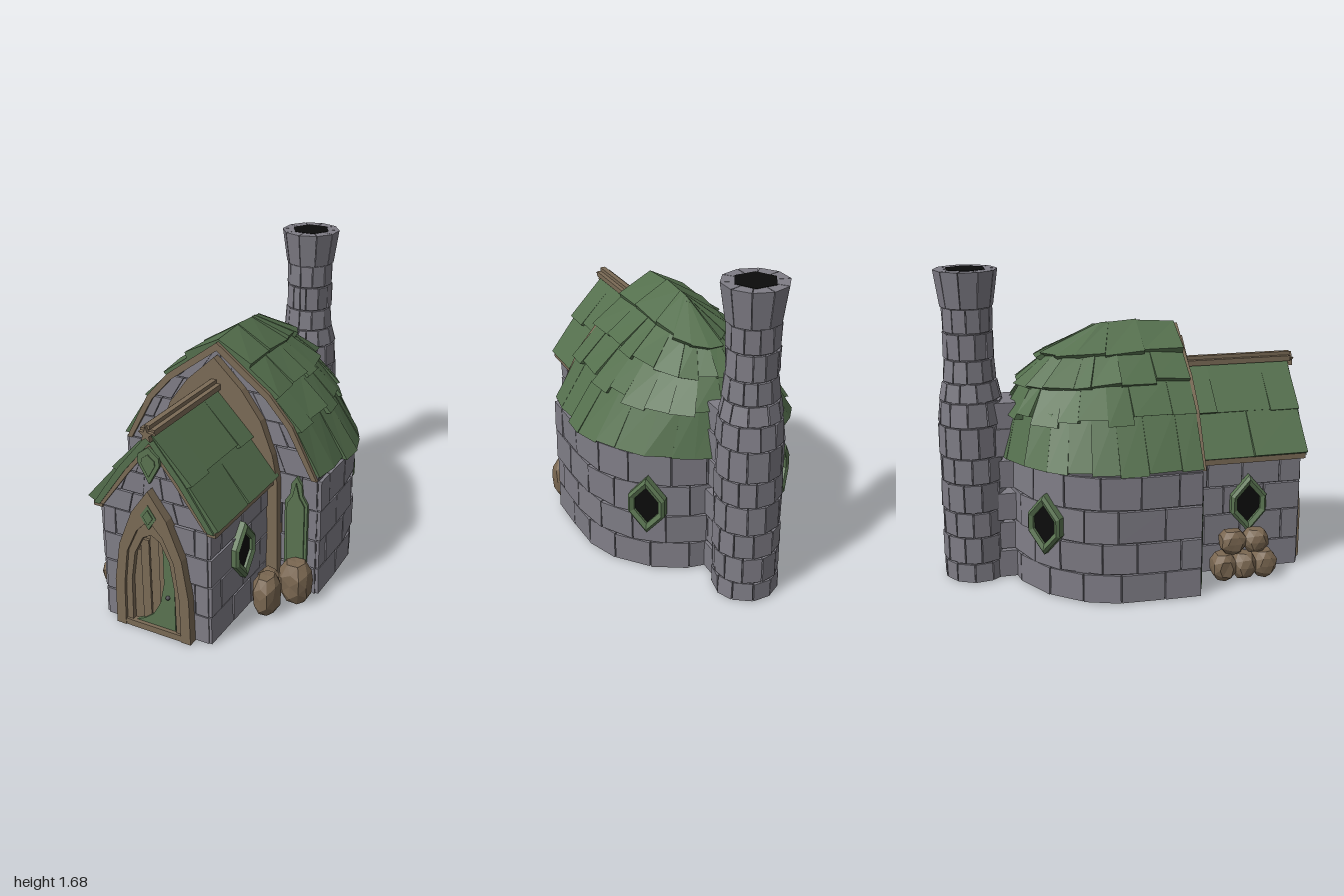
import * as THREE from 'three';
import { mergeGeometries } from 'three/addons/utils/BufferGeometryUtils.js';

const V = (x, y, z) => new THREE.Vector3(x, y, z);
const lerp = THREE.MathUtils.lerp;

export function createModel() {
  const root = new THREE.Group();
  const mat = (name, color) => Object.assign(new THREE.MeshStandardMaterial({ color }), { name });
  const stone = mat('stone', 0x7f7d86), mortar = mat('mortar', 0x5c5a61), roofGreen = mat('roofGreen', 0x546f4d),
    trimGreen = mat('trimGreen', 0x5a7451), wood = mat('wood', 0x7b6b56), rockBrown = mat('rockBrown', 0x7a6751),
    black = mat('black', 0x0b0b0b);

  let seed = 11;
  const rnd = () => (seed = (seed * 16807) % 2147483647) / 2147483647;

  // Merges faceted pieces into one named mesh
  const add = (name, geos, material, parent = root) => {
    const flat = geos.map((g) => {
      const n = g.index ? g.toNonIndexed() : g;
      const out = new THREE.BufferGeometry();
      out.setAttribute('position', n.getAttribute('position'));
      return out;
    });
    const geo = mergeGeometries(flat);
    geo.computeVertexNormals();
    const m = new THREE.Mesh(geo, material);
    m.name = name;
    parent.add(m);
  };
  const box = (x0, x1, y0, y1, z0, z1) =>
    new THREE.BoxGeometry(x1 - x0, y1 - y0, z1 - z0).translate((x0 + x1) / 2, (y0 + y1) / 2, (z0 + z1) / 2);

  // Six-sided block on a surface F(u, v, depth); dB and dT are the outer depths at bottom and top
  const block = (F, u0, u1, v0, v1, d0, dB, dT = dB) => {
    const ring = (v, d) => [F(u0, v, d0), F(u1, v, d0), F(u1, v, d), F(u0, v, d)];
    const a = ring(v0, dB), b = ring(v1, dT);
    const quads = [[a[3], a[2], a[1], a[0]], [b[0], b[1], b[2], b[3]]];
    for (let i = 0; i < 4; i++) { const j = (i + 1) % 4; quads.push([a[i], a[j], b[j], b[i]]); }
    const e = (p, q) => p.clone().sub(q);
    const flip = e(a[1], a[0]).cross(e(a[3], a[0])).dot(e(b[0], a[0])) < 0;
    const pts = [];
    for (const q of quads) {
      const [p, r, s, t] = flip ? [...q].reverse() : q;
      pts.push(p, r, s, p, s, t);
    }
    return new THREE.BufferGeometry().setFromPoints(pts);
  };

  // Courses of staggered blocks between u = lo and u = hi
  const courses = (F, rows, n, lo, hi, gapU, skip = () => false, thick = 0.02) => {
    const out = [];
    for (let r = 0; r < rows.length - 1; r++) {
      const cuts = [lo];
      for (let i = 1; i < n + (r % 2); i++) cuts.push(lo + ((hi - lo) * (i - (r % 2) * 0.5 + (rnd() - 0.5) * 0.2)) / n);
      cuts.push(hi);
      for (let i = 0; i < cuts.length - 1; i++) {
        if (skip((cuts[i] + cuts[i + 1]) / 2, rows[r])) continue;
        out.push(block(F, cuts[i] + gapU, cuts[i + 1] - gapU, rows[r] + 0.004, rows[r + 1] - 0.004,
          -0.012, thick + rnd() * 0.008, thick + rnd() * 0.008));
      }
    }
    return out;
  };

  // Mirrored outlines: half-profiles run from the bottom up to the centre line
  const mirror = (h) => [...h, ...h.slice().reverse().filter((p) => p[0] > 0).map(([x, y]) => [-x, y])];
  const toShape = (pts) => new THREE.Shape(pts.map(([x, y]) => new THREE.Vector2(x, y)));
  const plate = (pts, z0, z1) =>
    new THREE.ExtrudeGeometry(toShape(pts), { depth: z1 - z0, bevelEnabled: false }).translate(0, 0, z0);
  const band = (outer, inner, z0, z1) => plate([...mirror(outer), ...mirror(inner).reverse()], z0, z1);
  const widthAt = (table) => (y) => {
    const i = Math.max(1, table.findIndex((p) => y <= p[1]));
    const [a, b] = [table[i - 1], table[i]];
    return lerp(a[0], b[0], (y - a[1]) / (b[1] - a[1]));
  };

  // U-shaped plan: straight sides at the front, rounded at the back
  const plan = (u, w, zb, y) => {
    const a = Math.abs(u), s = Math.sign(u);
    if (a > 0.74) return V(s * w, y, lerp(-0.05, 0.29, (a - 0.74) / 0.26));
    const t = (a / 0.74) * Math.PI / 2;
    return V(s * w * Math.sin(t), y, -0.05 + (zb + 0.05) * Math.cos(t));
  };

  // Main walls
  const house = (u, v, d) => plan(u, 0.575 + d, -0.61 - d, v);
  const rows = [0, 0.16, 0.33, 0.51, 0.69];
  add('mainWallBricks', courses(house, rows, 12, -1, 1, 0.0025), stone);
  const core = [];
  for (let i = 0; i < 24; i++) core.push(block(house, -1 + i / 12, -1 + (i + 1) / 12, 0, 0.72, -0.004, 0.006));
  add('mainWallCore', core, mortar);

  // Main front gable, closed behind the porch above a low dark gap
  const mainProfile = [[0.58, 0], [0.58, 0.69], [0.42, 0.97], [0.3, 1.11], [0, 1.33]];
  const mainW = widthAt(mainProfile);
  add('frontGableBricks', courses((u, v, d) => V(u * mainW(v), v, 0.27 + d),
    [...rows, 0.84, 0.97, 1.11, 1.31], 6, -1, 1, 0.005, (u, y) => y < 0.1 && Math.abs(u) < 0.34), stone);
  add('frontGableCore', [plate([[0.575, 0], [0.575, 0.69], [0.42, 0.96], [0, 1.31], [-0.42, 0.96], [-0.575, 0.69],
    [-0.575, 0], [-0.2, 0], [-0.2, 0.16], [0.2, 0.16], [0.2, 0]], 0.266, 0.276)], mortar);
  add('passageGap', [box(-0.2, 0.2, 0, 0.16, 0.272, 0.28)], black);
  add('roofFascia', [band([[0.58, 0.69], [0.435, 0.97], [0.305, 1.12], [0, 1.35]],
    [[0.55, 0.69], [0.405, 0.955], [0.285, 1.09], [0, 1.305]], 0.26, 0.31)], wood);
  add('woodArch', [band([[0.38, 0], [0.37, 0.65], [0.34, 0.8], [0.27, 0.98], [0.16, 1.13], [0, 1.28]],
    [[0.31, 0], [0.31, 0.64], [0, 1.05]], 0.24, 0.34)], wood);

  // Pointed green pillars with a raised centre panel
  const pillar = [[0.065, 0], [0.065, 0.54], [0.035, 0.59], [0.03, 0.65], [0, 0.695]];
  for (const s of [-1, 1]) add('greenPillar', [plate(mirror(pillar), 0.24, 0.31),
    plate(mirror([[0.05, 0], [0.05, 0.53], [0.02, 0.58], [0, 0.66]]), 0.3, 0.318)]
    .map((g) => g.translate(s * 0.468, 0, 0)), trimGreen);

  // Main roof: tiers of overlapping, tilted shingles with a slightly bowed ridge
  const tiers = [[0.56, 0.72, -0.645], [0.425, 0.97, -0.605], [0.305, 1.1, -0.54], [0.165, 1.225, -0.41], [0, 1.335, -0.15]];
  const roof = (u, v, d) => {
    const i = Math.min(3, Math.max(0, Math.floor(v))), f = v - i;
    const [w, y, zb] = tiers[i].map((k, j) => lerp(k, tiers[i + 1][j], f));
    const p = plan(u, Math.max(0, w + d * (1 - v / 4)), zb - d, y + d * Math.max(0, v) * 0.25);
    p.y += 0.008 * v * Math.cos((p.z - 0.05) * 5);
    return p;
  };
  const shingles = [];
  [19, 17, 15, 11].forEach((n, r) => {
    const cuts = [-1];
    for (let i = 1; i < n; i++) cuts.push(-1 + (2 * (i + (rnd() - 0.5) * 0.4)) / n);
    cuts.push(1);
    for (let i = 0; i < n; i++) {
      const mid = (cuts[i] + cuts[i + 1]) / 2, tilt = (rnd() - 0.5) * 0.6;
      const drop = r ? 0.06 + rnd() * 0.2 : 0.03 + rnd() * 0.08;
      const tilted = (u, v, d) => roof(u, v, d > 0 ? d * (1 + tilt * Math.sign(u - mid)) : d);
      shingles.push(block(tilted, cuts[i], cuts[i + 1], r - drop, r + 1, -0.012, 0.034 + rnd() * 0.022, 0.012));
    }
  });
  add('mainRoofShingles', shingles, roofGreen);

  // Porch walls and front gable
  const porchRows = [0, 0.16, 0.335, 0.495, 0.645];
  for (const s of [-1, 1]) {
    add('porchSideBricks', courses((u, v, d) => V(s * (0.29 + d), v, u), porchRows, 3, 0.29, 0.94, 0.004), stone);
    add('porchSideCore', [box(s * 0.291 - 0.005, s * 0.291 + 0.005, 0, 0.68, 0.28, 0.93)], mortar);
  }
  const porchProfile = [[0.3, 0], [0.3, 0.66], [0.18, 0.88], [0, 1.1]];
  const porchW = widthAt(porchProfile);
  add('porchFrontBricks', courses((u, v, d) => V(u * porchW(v), v, 0.92 + d), [...porchRows, 0.76, 0.88, 1.07],
    4, -1, 1, 0.008, (u, y) => y < 0.5 && Math.abs(u) < 0.4), stone);
  add('porchFrontCore', [band(porchProfile, [[0.15, 0], [0.15, 0.3], [0.12, 0.47], [0, 0.62]], 0.914, 0.925)], mortar);

  // Porch roof: two tiers each side, ridge beams and edge trims
  const porchRoof = (s) => (u, v, d) =>
    V(s * Math.max(0, (v < 1 ? lerp(0.335, 0.18, v) : lerp(0.18, 0, v - 1)) + d * (v < 1.9 ? 1 : 0)),
      (v < 1 ? lerp(0.665, 0.89, v) : lerp(0.89, 1.115, v - 1)) + d * 0.5, u);
  const tiles = [];
  for (const s of [-1, 1]) [[0.32, 0.65, 0.95], [0.32, 0.48, 0.79, 0.955]].forEach((c, r) => {
    for (let i = 0; i < c.length - 1; i++)
      tiles.push(block(porchRoof(s), c[i], c[i + 1], r - (r ? 0.04 + rnd() * 0.08 : rnd() * 0.04), r + 1,
        -0.02, 0.02 + rnd() * 0.025, 0.01 + rnd() * 0.008));
  });
  add('porchRoofShingles', tiles, roofGreen);
  add('porchBargeboard', [band([[0.345, 0.655], [0.185, 0.89], [0, 1.115]], [[0.31, 0.655], [0.15, 0.88], [0, 1.06]], 0.92, 0.96)], roofGreen);
  add('porchInnerTrim', [band([[0.31, 0.655], [0.15, 0.88], [0, 1.06]], [[0.29, 0.655], [0.13, 0.87], [0, 1.03]], 0.92, 0.955)], wood);
  add('porchBeams', [box(-0.015, 0.015, 1.14, 1.16, 0.32, 0.97), box(-0.04, 0.04, 1.11, 1.14, 0.32, 0.965),
    box(0.3, 0.35, 0.635, 0.668, 0.32, 0.95), box(-0.35, -0.3, 0.635, 0.668, 0.32, 0.95)], wood);
  const star = [];
  for (let i = 0; i < 10; i++) {
    const a = Math.PI / 2 + (i * Math.PI) / 5, r = i % 2 ? 0.018 : 0.042;
    star.push([r * Math.cos(a), 1.115 + r * Math.sin(a)]);
  }
  add('gableStar', [plate(star, 0.96, 0.985)], wood);

  // Door: stepped pointed frame, planks on a backing and a curved green panel
  const frameInner = [[0.165, 0], [0.16, 0.25], [0.135, 0.45], [0.075, 0.58], [0, 0.66]];
  add('doorFrame', [band([[0.22, 0], [0.215, 0.26], [0.18, 0.48], [0.1, 0.68], [0, 0.82]], frameInner, 0.9, 0.992),
    band(frameInner, [[0.13, 0], [0.125, 0.28], [0.1, 0.44], [0.05, 0.54], [0, 0.57]], 0.9, 0.975),
    box(-0.165, 0.165, 0, 0.035, 0.9, 0.988)], wood);
  add('doorPlanks', [plate(mirror([[0.14, 0.02], [0.13, 0.3], [0.1, 0.46], [0, 0.6]]), 0.91, 0.94),
    ...[-0.13, -0.078, -0.026, 0.026, 0.078].map((x, i) =>
      box(x + 0.002, x + 0.05, 0.03, [0.45, 0.52, 0.565, 0.53, 0.46][i], 0.92, 0.95 + (i % 2) * 0.006))], wood);
  add('doorGreenPanel', [plate([[-0.11, 0.035], [0.12, 0.035], [0.12, 0.36], [0.1, 0.46], [0.06, 0.53], [0.06, 0.3],
    [0.035, 0.18], [-0.01, 0.1], [-0.06, 0.06]], 0.95, 0.968)], trimGreen);
  add('doorKnob', [new THREE.IcosahedronGeometry(0.012, 1).translate(0.085, 0.23, 0.975)], mortar);

  // Leaf-shaped ornaments over the door and in the gable
  const ornament = (name, half, cy, z) => add(name, [1, 0.62].map((k, i) =>
    plate(mirror(half.map(([x, y]) => [x * k, cy + y * k])), z - 0.02, z + i * 0.005)), trimGreen);
  ornament('doorDiamond', [[0, -0.07], [0.046, 0], [0, 0.065]], 0.68, 0.995);
  ornament('gablePendant', [[0, -0.1], [0.062, 0.01], [0.058, 0.05], [0, 0.095]], 0.95, 0.972);

  // Pointed windows: deep sloping green frame with a dark pane
  const windowPoints = (w, h) => [[0, -h], [w, -h * 0.3], [w, h * 0.3], [0, h], [-w, h * 0.3], [-w, -h * 0.3]];
  const windowRing = (u, v, d) => {
    const inner = windowPoints(0.066, 0.108)[u % 6], outer = windowPoints(0.1, 0.165)[u % 6];
    return V(lerp(inner[0], outer[0], v), lerp(inner[1], outer[1], v), d);
  };
  const addWindow = (x, y, z, turn) => {
    const g = new THREE.Group();
    g.name = 'window';
    const sides = [];
    for (let i = 0; i < 6; i++) sides.push(block(windowRing, i, i + 1, 0, 0.6, -0.01, 0.028, 0.04),
      block(windowRing, i, i + 1, 0.6, 1, -0.01, 0.04, 0.026));
    add('windowFrame', sides, trimGreen, g);
    add('windowPane', [plate(windowPoints(0.07, 0.112), 0.006, 0.014)], black, g);
    g.position.set(x, y, z);
    g.rotation.y = turn;
    root.add(g);
  };
  for (const s of [-1, 1]) {
    addWindow(s * 0.315, 0.395, 0.635, s * Math.PI / 2);
    addWindow(s * 0.397, 0.405, -0.492, s * Math.PI * 0.75);
  }

  // Chimney: rings of tapered stones with a flared mouth
  const chimneyProfile = [[0.17, 0], [0.17, 0.87], [0.16, 1], [0.138, 1.1], [0.128, 1.22], [0.13, 1.49], [0.16, 1.68]];
  const chimneyR = widthAt(chimneyProfile);
  const chimney = (u, v, d) => {
    const r = chimneyR(v) + d - 0.01, a = u * Math.PI * 2;
    return V(r * Math.sin(a), v, -0.825 + r * Math.cos(a));
  };
  const ringRows = [0, 0.11, 0.26, 0.4, 0.56, 0.7, 0.87, 1, 1.1, 1.22, 1.36, 1.49];
  add('chimneyStones', courses(chimney, ringRows, 11, 0, 1, 0.003, undefined, 0.01), stone);
  const mouth = [];
  for (let i = 0; i < 10; i++) mouth.push(block(chimney, i / 10 + 0.002, (i + 1) / 10 - 0.002, 1.49, 1.68, -0.06, 0.018, 0.016));
  add('chimneyMouth', mouth, stone);
  const liner = [];
  for (let i = 0; i < 11; i++) for (let j = 0; j < 5; j++)
    liner.push(block(chimney, i / 11, (i + 1) / 11, chimneyProfile[j][1], chimneyProfile[j + 1][1], -0.008, 0.002));
  add('chimneyLiner', liner, mortar);
  add('chimneyHole', [new THREE.CylinderGeometry(0.112, 0.112, 0.006, 6).rotateY(Math.PI / 6).translate(0, 1.679, -0.825)], black);
  add('chimneyJoint', rows.concat(0.83).map((y, i) =>
    box(-0.125 + (i % 2) * 0.012, 0.125 - (i % 2) * 0.012, y + 0.004, y + 0.155, -0.715, -0.6)), stone);

  // Chunky rock piles beside the porch
  const rock = (x, y, z, rx, ry, rz) => {
    const g = new THREE.IcosahedronGeometry(1, 1), p = g.getAttribute('position');
    const k = 1 + rnd() * 5;
    for (let i = 0; i < p.count; i++) {
      const [a, b, c] = [p.getX(i), p.getY(i), p.getZ(i)];
      const f = (0.94 + 0.06 * Math.sin(k * 3 * a + k) * Math.cos(4 * b + k * c)) / (a ** 4 + b ** 4 + c ** 4) ** 0.25;
      p.setXYZ(i, a * f, b * f, c * f);
    }
    return g.scale(rx, ry, rz).translate(x, y, z);
  };
  add('leftRocks', [rock(0.51, 0.12, 0.385, 0.088, 0.125, 0.08), rock(0.425, 0.115, 0.555, 0.068, 0.12, 0.088),
    rock(0.375, 0.09, 0.43, 0.06, 0.09, 0.055)], rockBrown);
  add('rightRocks', [0.47, 0.585, 0.7].map((z) => rock(-0.415, 0.078, z, 0.077, 0.078, 0.068))
    .concat([0.52, 0.65].map((z) => rock(-0.41, 0.215, z, 0.066, 0.068, 0.072))), rockBrown);
  return root;
}
